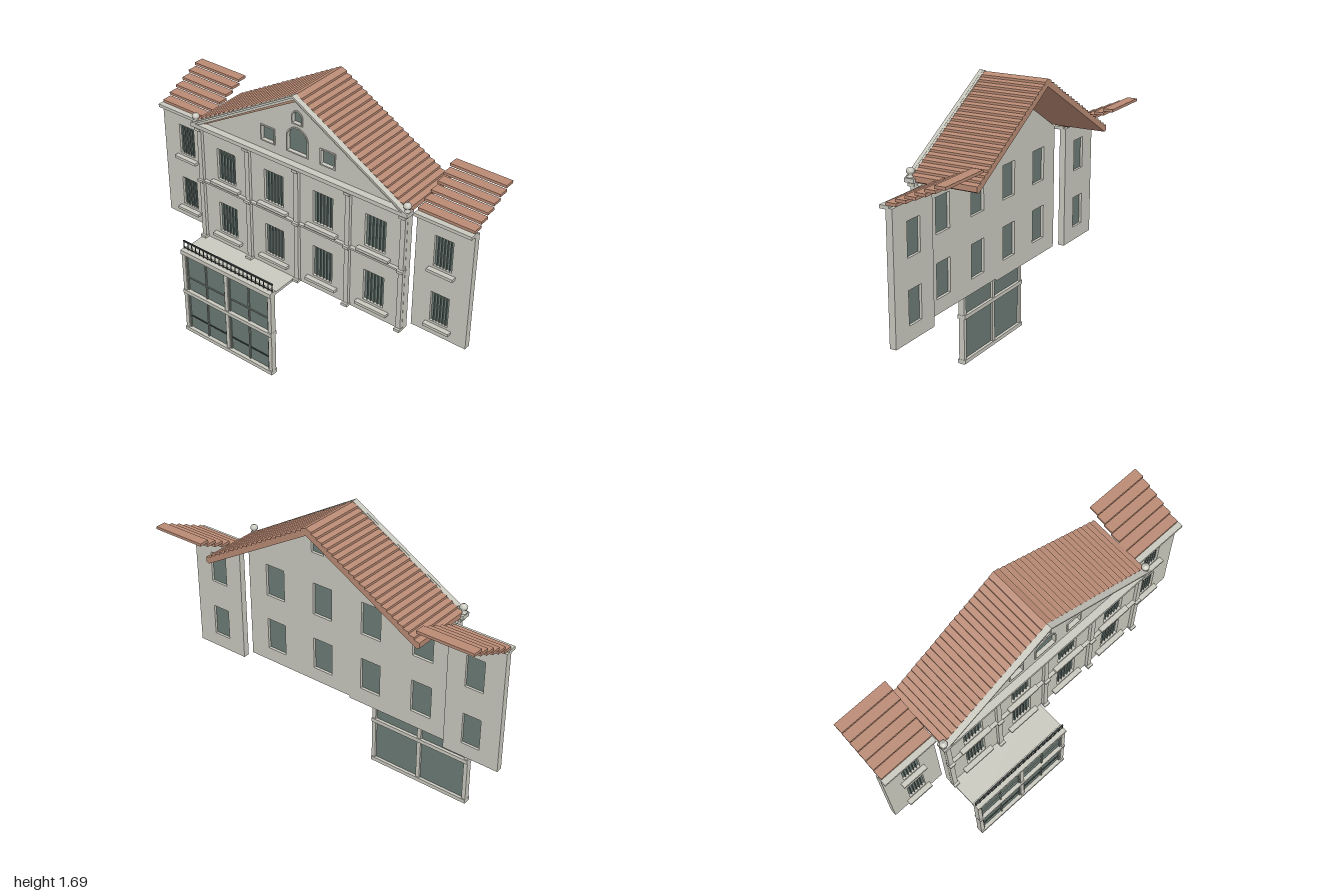
import * as THREE from 'three';

const mat = (name, color) => {
  const m = new THREE.MeshStandardMaterial({ color });
  m.name = name;
  return m;
};

export function createModel() {
  const stone = mat('stone', 0xc9c8be);
  const glass = mat('glass', 0x6b7a74);
  const mullionPaint = mat('mullion paint', 0x868f88);
  const tile = mat('terracotta', 0xb98a74);
  const iron = mat('iron', 0x3a4241);
  const house = new THREE.Group();
  house.name = 'house';

  const add = (parent, name, geo, material) => {
    const m = new THREE.Mesh(geo, material);
    m.name = name;
    parent.add(m);
    return m;
  };
  // Box given by its limits on each axis
  const box = (parent, name, material, x0, x1, y0, y1, z0, z1) => {
    const m = add(parent, name, new THREE.BoxGeometry(x1 - x0, y1 - y0, z1 - z0), material);
    m.position.set((x0 + x1) / 2, (y0 + y1) / 2, (z0 + z1) / 2);
    return m;
  };
  const extrude = (parent, name, material, shape, z0, z1) => {
    const geo = new THREE.ExtrudeGeometry(shape, { depth: z1 - z0, bevelEnabled: false, curveSegments: 12 });
    return add(parent, name, geo.translate(0, 0, z0), material);
  };
  const polygon = (pts) => new THREE.Shape(pts.map(([x, y]) => new THREE.Vector2(x, y)));
  const group = (name) => {
    const g = new THREE.Group();
    g.name = name;
    house.add(g);
    return g;
  };

  // Opening outline, rectangular or round-headed
  const opening = ({ x, w, y0, y1, arch }, grow = 0, Type = THREE.Path) => {
    const h = w / 2 + grow, top = arch ? y1 - w / 2 : y1 + grow;
    const p = new Type();
    p.moveTo(x - h, y0 - grow);
    p.lineTo(x + h, y0 - grow);
    p.lineTo(x + h, top);
    if (arch) p.absarc(x, top, h, 0, Math.PI, false);
    else p.lineTo(x - h, top);
    p.lineTo(x - h, y0 - grow);
    return p;
  };

  // Wall with pierced openings, panes and slim window bars
  const wall = (parent, outline, windows, z0, z1) => {
    const shape = polygon(outline);
    windows.forEach((w) => shape.holes.push(opening(w)));
    extrude(parent, 'wall', stone, shape, z0, z1);
    const mid = (z0 + z1) / 2;
    windows.forEach((w) => {
      extrude(parent, 'windowPane', glass, opening(w, 0, THREE.Shape), mid - 0.004, mid + 0.004);
      if (w.small) {
        const rim = opening(w, 0.007, THREE.Shape);
        rim.holes.push(opening(w));
        extrude(parent, 'windowSurround', stone, rim, z1, z1 + 0.006);
        return;
      }
      for (let i = 1; i < 6; i++) {
        const x = w.x - w.w / 2 + (w.w * i) / 6;
        box(parent, 'windowBar', glass, x - 0.002, x + 0.002, w.y0, w.y1, mid, mid + 0.012);
      }
      const s = w.w / 2 + w.sill;
      box(parent, 'windowSill', stone, w.x - s, w.x + s, w.y0 - 0.03, w.y0 - 0.014, z1 - 0.005, z1 + 0.028);
    });
  };

  // Central block
  const main = group('mainFacade');
  const mainWindows = [];
  for (const x of [-0.485, -0.16, 0.16, 0.485]) {
    mainWindows.push({ x, w: 0.125, y0: 0.975, y1: 1.165, sill: 0.035 });
    mainWindows.push({ x, w: 0.125, y0: 0.635, y1: 0.825, sill: 0.035 });
  }
  mainWindows.push(
    { x: 0, w: 0.125, y0: 1.345, y1: 1.485, arch: true, small: true },
    { x: 0, w: 0.055, y0: 1.515, y1: 1.58, arch: true, small: true },
    { x: -0.19, w: 0.08, y0: 1.345, y1: 1.425, small: true },
    { x: 0.19, w: 0.08, y0: 1.345, y1: 1.425, small: true });
  wall(main, [[-0.67, 0.555], [0.67, 0.555], [0.67, 1.255], [0, 1.65], [-0.67, 1.255]], mainWindows, 0.05, 0.09);

  // Pilasters with base, middle and cap blocks
  for (const x of [-0.655, -0.325, 0, 0.325, 0.655]) {
    box(main, 'pilaster', stone, x - 0.014, x + 0.014, 0.56, 1.26, 0.085, 0.108);
    for (const y of [0.557, 0.923, 1.245])
      box(main, 'pilasterBlock', stone, x - 0.018, x + 0.018, y, y + 0.015, 0.085, 0.122);
  }
  box(main, 'middleBand', stone, -0.67, 0.67, 0.925, 0.936, 0.085, 0.11);
  box(main, 'architrave', stone, -0.67, 0.67, 1.255, 1.27, 0.07, 0.112);
  box(main, 'cornice', stone, -0.69, 0.69, 1.268, 1.29, 0.075, 0.13);

  // Raking cornice of the pediment, in two steps
  const rake = (top, drop, end) => polygon([
    [-end, 1.29], [-end + drop * 1.7, 1.29], [0, top - drop], [end - drop * 1.7, 1.29], [end, 1.29], [0, top]]);
  extrude(main, 'rakingCornice', stone, rake(1.685, 0.026, 0.68), 0.098, 0.122);
  extrude(main, 'rakingCorniceLip', stone, rake(1.686, 0.012, 0.682), 0.11, 0.13);

  // Corner finials
  const finial = [[0, 0], [0.018, 0], [0.018, 0.008], [0.008, 0.014], [0.02, 0.026], [0.021, 0.036], [0.013, 0.047], [0, 0.052]]
    .map(([x, y]) => new THREE.Vector2(x, y));
  for (const s of [-1, 1])
    add(main, 'finial', new THREE.LatheGeometry(finial, 16), stone).position.set(s * 0.673, 1.29, 0.105);

  // Main roof: each slope is a stepped section run from front to back
  const roof = group('mainRoof');
  const rows = 21;
  for (const s of [-1, 1]) {
    const pts = [[0, 1.64], [0, 1.68]];
    for (let i = 1; i <= rows; i++) {
      const x = (0.675 * i) / rows, y = 1.68 - (0.385 * i) / rows;
      pts.push([s * x, y + 0.006], [s * x, y - 0.006]);
    }
    pts.push([s * 0.675, 1.273], [s * 0.66, 1.265]);
    extrude(roof, 'roofSlope', tile, polygon(pts), -0.265, 0.098);
  }

  // Side wings with open slatted roofs
  for (const s of [-1, 1]) {
    const wing = group(s > 0 ? 'leftWing' : 'rightWing');
    const a = s > 0 ? 0.675 : -1, b = a + 0.325;
    const windows = [[0.975, 1.155], [0.635, 0.815]].map(([y0, y1]) => ({ x: s * 0.835, w: 0.106, y0, y1, sill: 0.023 }));
    wall(wing, [[a, 0.555], [b, 0.555], [b, 1.245], [a, 1.245]], windows, -0.018, 0.018);
    box(wing, 'wingCornice', stone, a, b, 1.238, 1.256, 0, 0.052);
    for (let i = 0; i < 6; i++) {
      const z = 0.02 - 0.0525 * i, y = 1.256 + 0.0235 * i;
      box(wing, 'roofSlat', tile, s > 0 ? 0.677 : -0.995, s > 0 ? 0.995 : -0.677, y, y + 0.015, z - 0.058, z);
    }
  }

  // Glazed porch under a balcony
  const porch = group('porch');
  box(porch, 'balconyFloor', stone, -0.665, -0.025, 0.542, 0.558, 0.05, 0.295);
  for (const [y0, y1] of [[0.004, 0.027], [0.272, 0.295], [0.54, 0.566]])
    box(porch, 'porchBeam', stone, -0.665, -0.025, y0, y1, 0.25, 0.297);
  for (const x of [-0.652, -0.345, -0.038])
    box(porch, 'porchPost', stone, x - 0.012, x + 0.012, 0, 0.55, 0.256, 0.29);
  for (const x of [-0.4985, -0.1915]) {
    box(porch, 'porchGlass', glass, x - 0.142, x + 0.142, 0.02, 0.545, 0.268, 0.275);
    box(porch, 'porchMullion', mullionPaint, x - 0.004, x + 0.004, 0.027, 0.54, 0.274, 0.283);
    for (const e of [-0.138, 0.138])
      box(porch, 'porchJamb', mullionPaint, x + e - 0.004, x + e + 0.004, 0.027, 0.54, 0.274, 0.283);
    box(porch, 'porchTransom', mullionPaint, x - 0.142, x + 0.142, 0.378, 0.384, 0.274, 0.281);
    box(porch, 'porchRail', iron, x - 0.142, x + 0.142, 0.107, 0.112, 0.274, 0.281);
  }

  // Balcony railing
  box(porch, 'handrail', iron, -0.662, -0.028, 0.612, 0.62, 0.267, 0.275);
  box(porch, 'bottomRail', iron, -0.662, -0.028, 0.572, 0.576, 0.269, 0.273);
  for (let i = 0; i <= 22; i++) {
    const x = -0.659 + (0.628 * i) / 22;
    box(porch, 'baluster', iron, x - 0.002, x + 0.002, 0.56, 0.613, 0.269, 0.273);
  }
  return house;
}
